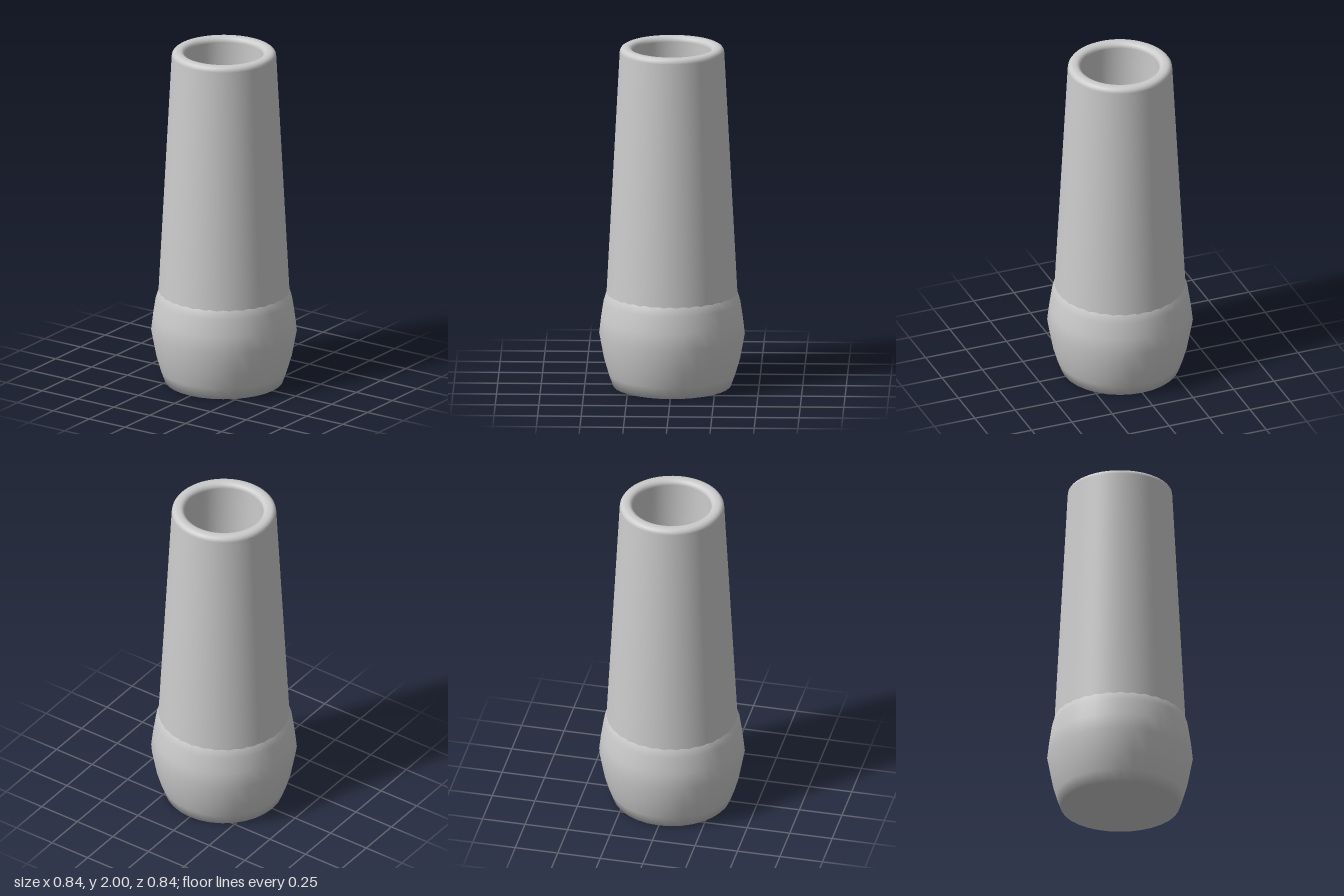
import * as THREE from 'three';

const material = new THREE.MeshStandardMaterial({ color: 0xcccccc, side: THREE.DoubleSide });

// Turned part from [radius, height] pairs, bottom to top
function turned(name, profile, sides) {
  const points = profile.map(([r, y]) => new THREE.Vector2(r, y));
  const mesh = new THREE.Mesh(new THREE.LatheGeometry(points, sides), material);
  mesh.name = name;
  return mesh;
}

export function createModel() {
  const group = new THREE.Group();
  group.name = 'taperedHolder';

  // Swollen foot with a closed underside
  group.add(turned('bulbousBase', [
    [0, 0], [0.34, 0], [0.365, 0.07], [0.39, 0.155], [0.418, 0.305],
    [0.407, 0.4], [0.392, 0.5], [0.376, 0.55], [0.355, 0.58],
  ], 32));

  // Tapered tube: outer wall, rounded rim, then bore down to its floor
  const rim = [];
  for (let i = 0; i <= 4; i++) {
    const a = (i / 4) * Math.PI / 2;
    rim.push([0.27 + 0.03 * Math.cos(a), 1.97 + 0.03 * Math.sin(a)]);
  }
  for (let i = 0; i <= 4; i++) {
    const a = (i / 4) * Math.PI / 2;
    rim.push([0.255 - 0.03 * Math.sin(a), 1.97 + 0.03 * Math.cos(a)]);
  }
  group.add(turned('taperedTube', [
    [0.385, 0.35], [0.376, 0.54], ...rim, [0.222, 0.5], [0, 0.48],
  ], 64));

  return group;
}
